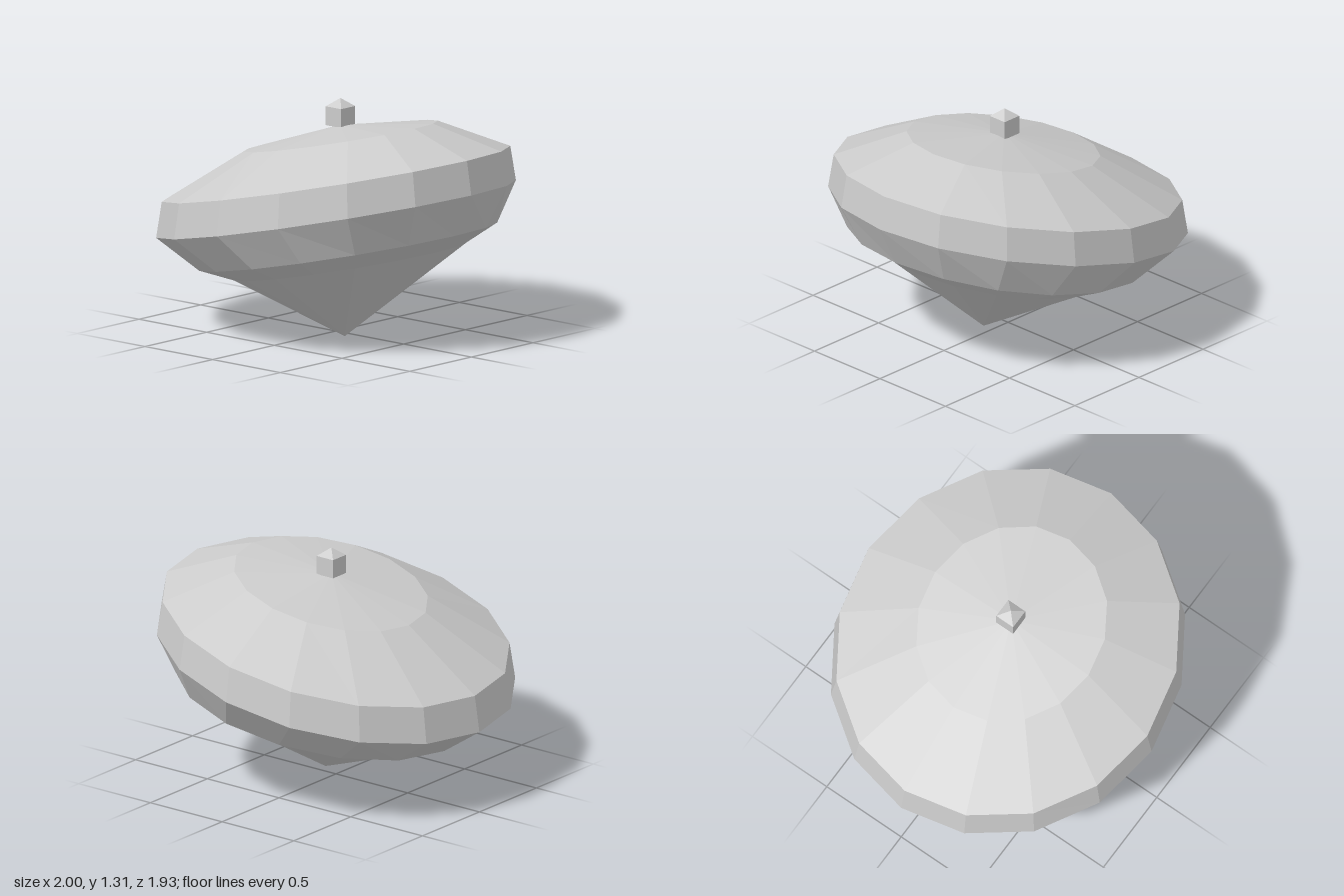
import * as THREE from 'three';

const SIDES = 16;
const SLOPE = 0.22; // every ring leans up towards +x

// Rings from top to bottom: centre x, centre z, height at x = 0, radii, squash of the +x end
const RINGS = [
  { cx: 0.03, y: 1.15, rx: 0, rz: 0 },
  { cx: 0.035, y: 1.086, rx: 0.545, rz: 0.515 },
  { cx: 0, y: 0.878, rx: 0.968, rz: 0.936 },
  { cx: 0, y: 0.682, rx: 1, rz: 0.965 },
  { cx: 0.12, y: 0.465, rx: 0.815, rz: 0.815, egg: 0.06 },
  { cx: 0.13, y: 0.38, rx: 0.635, rz: 0.635, egg: 0.055 },
  { cx: 0.125, cz: 0.065, y: -0.0275, rx: 0, rz: 0 },
];

function ringPoint({ cx, cz = 0, y, rx, rz, egg = 0 }, i) {
  const a = (i / SIDES) * Math.PI * 2;
  const c = Math.cos(a);
  const x = cx + rx * c - egg * c * c;
  return [x, y + SLOPE * x, cz + rz * Math.sin(a)];
}

// Faceted skin over a run of rings
function skin(rings) {
  const pos = [];
  for (let r = 0; r < rings.length - 1; r++) {
    const [up, low] = [rings[r], rings[r + 1]];
    for (let i = 0; i < SIDES; i++) {
      const u0 = ringPoint(up, i), u1 = ringPoint(up, i + 1);
      const l0 = ringPoint(low, i), l1 = ringPoint(low, i + 1);
      if (up.rx) pos.push(...u0, ...u1, ...l0);
      if (low.rx) pos.push(...u1, ...l1, ...l0);
    }
  }
  const g = new THREE.BufferGeometry();
  g.setAttribute('position', new THREE.Float32BufferAttribute(pos, 3));
  g.computeVertexNormals();
  return g;
}

export function createModel() {
  const model = new THREE.Group();
  const mat = new THREE.MeshStandardMaterial({ color: 0xcccccc, flatShading: true });
  const add = (name, geometry, parent = model) => {
    const mesh = new THREE.Mesh(geometry, mat);
    mesh.name = name;
    parent.add(mesh);
    return mesh;
  };

  // Leaning body: domed roof, rim band and pointed underside
  add('roof', skin(RINGS.slice(0, 3)));
  add('rimBand', skin(RINGS.slice(2, 4)));
  add('underside', skin(RINGS.slice(3)));

  // Small upright box with a pyramid cap
  const finial = new THREE.Group();
  finial.name = 'finial';
  finial.position.set(0.03, 0, -0.003);
  model.add(finial);
  const half = 0.057;
  add('finialBox', new THREE.BoxGeometry(half * 2, 0.105, half * 2), finial).position.y = 1.2075;
  const cap = new THREE.ConeGeometry(half * Math.SQRT2, 0.046, 4).rotateY(Math.PI / 4);
  add('finialCap', cap, finial).position.y = 1.283;

  return model;
}
